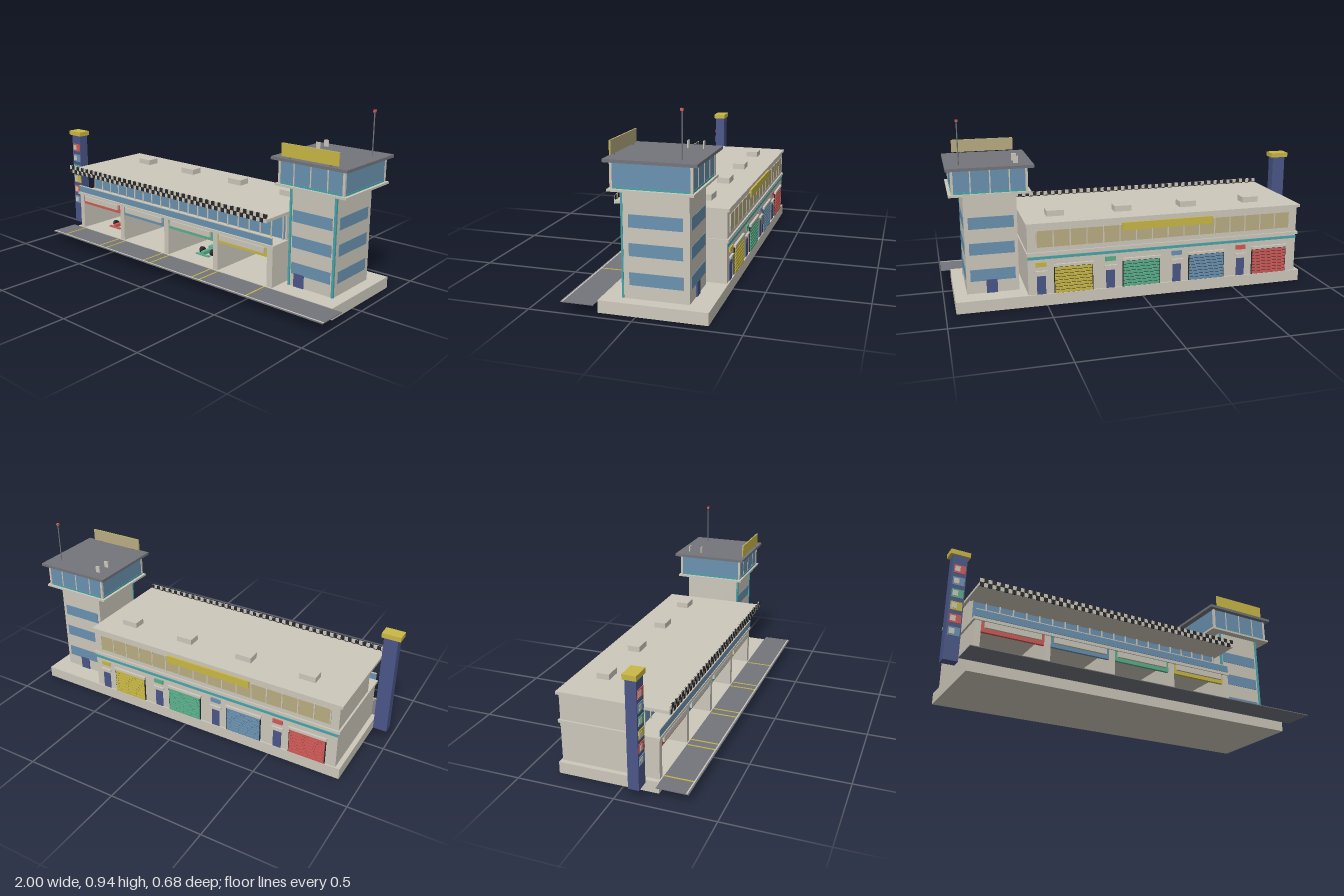
import * as THREE from 'three';

const paint = (name, color) => {
  const m = new THREE.MeshStandardMaterial({ color });
  m.name = name;
  return m;
};

export function createModel() {
  const root = new THREE.Group();
  root.name = 'pitBuilding';
  const cream = paint('cream', 0xcdc8bb), blue = paint('glassBlue', 0x6a92b0);
  const navy = paint('navy', 0x4a5688), teal = paint('teal', 0x48a5aa);
  const gray = paint('asphaltGray', 0x73757b), yellow = paint('yellow', 0xcab845);
  const red = paint('red', 0xd05a57), green = paint('green', 0x5ab08c);
  const black = paint('black', 0x29292c), khaki = paint('khaki', 0xb9ad82);

  const group = (name, parent = root) => {
    const g = new THREE.Group();
    g.name = name;
    parent.add(g);
    return g;
  };
  // Box given by its extents along each axis
  const box = (parent, name, mat, x0, x1, y0, y1, z0, z1) => {
    const mesh = new THREE.Mesh(new THREE.BoxGeometry(x1 - x0, y1 - y0, z1 - z0), mat);
    mesh.position.set((x0 + x1) / 2, (y0 + y1) / 2, (z0 + z1) / 2);
    mesh.name = name;
    parent.add(mesh);
    return mesh;
  };
  const cyl = (parent, name, mat, r, h, x, y, z) => {
    const mesh = new THREE.Mesh(new THREE.CylinderGeometry(r, r, h, 12), mat);
    mesh.position.set(x, y, z);
    mesh.name = name;
    parent.add(mesh);
    return mesh;
  };

  const bays = [-0.672, -0.313, 0.044, 0.4];
  const bayColors = [red, blue, green, yellow];

  // Plinth and pit lane
  box(root, 'plinth', cream, -0.89, 0.95, 0, 0.06, -0.338, 0.18);
  const lane = group('pitLane');
  box(lane, 'laneSurface', gray, -0.93, 1, 0.053, 0.057, 0.18, 0.34);
  box(lane, 'laneEdgeLine', cream, -0.93, 1, 0.057, 0.058, 0.326, 0.333);
  for (const b of bays) for (const s of [-0.152, 0.152])
    box(lane, 'bayLine', yellow, b + s - 0.004, b + s + 0.004, 0.057, 0.0585, 0.182, 0.326);

  // Ground floor shell: back wall, end walls, partitions
  const ground = group('groundFloor');
  box(ground, 'backWall', cream, -0.865, 0.594, 0.06, 0.265, -0.33, -0.318);
  const walls = [[-0.865, -0.834], [-0.508, -0.476], [-0.15, -0.118], [0.209, 0.24], [0.56, 0.594]];
  for (const [a, b] of walls) box(ground, 'partition', cream, a, b, 0.06, 0.265, -0.318, 0.174);
  box(ground, 'balconySlab', cream, -0.875, 0.6, 0.265, 0.28, -0.338, 0.181);
  box(ground, 'rearTrim', teal, -0.865, 0.594, 0.243, 0.257, -0.334, -0.33);

  bays.forEach((b, i) => {
    const bay = group('garageBay'), c = bayColors[i];
    // Front header and sign box
    box(bay, 'header', c, b - 0.163, b + 0.163, 0.212, 0.265, 0.155, 0.17);
    box(bay, 'signBox', cream, b - 0.145, b + 0.145, 0.232, 0.262, 0.17, 0.181);
    // Inside fittings
    box(bay, 'wallBanner', c, b - 0.133, b + 0.133, 0.135, 0.2, -0.318, -0.312);
    box(bay, 'cabinet', navy, b + 0.11, b + 0.158, 0.06, 0.105, -0.31, -0.25);
    if (i % 2) {
      box(bay, 'toolChest', c, b + 0.055, b + 0.13, 0.06, 0.105, -0.25, -0.2);
      for (let k = 0; k < 3; k++) for (let j = 0; j < 4; j++)
        cyl(bay, 'tyre', black, 0.017, 0.016, b - 0.145 + k * 0.038, 0.068 + j * 0.0185, -0.26);
    } else {
      raceCar(bay, c, b, -0.03);
    }
    // Rear roller door with slats
    const d = b - 0.037;
    box(bay, 'rollerBacking', black, d - 0.1, d + 0.1, 0.06, 0.205, -0.335, -0.33);
    for (let k = 0; k < 8; k++)
      box(bay, 'rollerSlat', c, d - 0.096, d + 0.096, 0.062 + k * 0.0172, 0.0755 + k * 0.0172, -0.339, -0.334);
    box(bay, 'rollerHousing', cream, d - 0.103, d + 0.103, 0.2, 0.213, -0.342, -0.33);
    // Rear service door, canopy and plate
    box(bay, 'serviceDoor', navy, b + 0.105, b + 0.15, 0.06, 0.155, -0.334, -0.33);
    box(bay, 'doorCanopy', cream, b + 0.095, b + 0.16, 0.175, 0.183, -0.341, -0.33);
    box(bay, 'doorPlate', c, b + 0.1, b + 0.155, 0.205, 0.228, -0.337, -0.33);
  });

  // Open-wheel car: nose toward +z
  function raceCar(parent, c, x, z) {
    const car = group('raceCar', parent);
    box(car, 'floorPan', black, x - 0.032, x + 0.032, 0.066, 0.07, z - 0.08, z + 0.05);
    box(car, 'body', c, x - 0.026, x + 0.026, 0.07, 0.094, z - 0.07, z + 0.025);
    box(car, 'nose', c, x - 0.011, x + 0.011, 0.07, 0.088, z + 0.025, z + 0.105);
    box(car, 'airbox', c, x - 0.01, x + 0.01, 0.094, 0.112, z - 0.06, z - 0.015);
    box(car, 'frontWing', c, x - 0.046, x + 0.046, 0.066, 0.072, z + 0.09, z + 0.11);
    box(car, 'rearWing', c, x - 0.034, x + 0.034, 0.113, 0.12, z - 0.1, z - 0.075);
    for (const s of [-1, 1]) {
      box(car, 'wingPlate', black, x + s * 0.034 - 0.002, x + s * 0.034 + 0.002, 0.09, 0.123, z - 0.102, z - 0.073);
      for (const w of [-0.065, 0.06])
        cyl(car, 'wheel', black, 0.018, 0.018, x + s * 0.038, 0.078, z + w).rotation.z = Math.PI / 2;
    }
  }

  // Upper floor: glazed front set back behind the balcony
  const upper = group('upperFloor');
  box(upper, 'upperBlock', cream, -0.865, 0.594, 0.28, 0.415, -0.33, 0.06);
  box(upper, 'frontGlass', blue, -0.855, 0.585, 0.285, 0.412, 0.06, 0.066);
  for (let i = 0; i <= 20; i++) {
    const x = -0.853 + i * 0.0715;
    box(upper, 'frontMullion', cream, x - 0.003, x + 0.003, 0.28, 0.415, 0.06, 0.07);
  }
  box(upper, 'rearGlass', khaki, -0.82, 0.55, 0.305, 0.39, -0.334, -0.33);
  for (let i = 0; i <= 16; i++) {
    const x = -0.82 + i * 0.0856;
    box(upper, 'rearMullion', cream, x - 0.003, x + 0.003, 0.302, 0.393, -0.336, -0.33);
  }
  box(upper, 'rearSign', yellow, -0.38, 0.11, 0.362, 0.402, -0.34, -0.33);
  box(upper, 'balconyGlass', blue, -0.865, 0.594, 0.283, 0.318, 0.176, 0.179);
  box(upper, 'balconyRail', cream, -0.865, 0.594, 0.318, 0.323, 0.175, 0.18);

  // Main roof, vents and chequered fascia
  const roof = group('mainRoof');
  box(roof, 'roofSlab', cream, -0.88, 0.6, 0.415, 0.43, -0.34, 0.232);
  for (const b of bays)
    box(roof, 'roofVent', cream, b - 0.014, b + 0.076, 0.43, 0.46, -0.222, -0.156);
  box(roof, 'fascia', cream, -0.877, 0.598, 0.412, 0.455, 0.23, 0.235);
  const n = 72, w = 1.475 / n;
  for (let i = 0; i < n; i++) {
    const x = -0.877 + i * w, y = 0.412 + (i % 2) * 0.0215;
    box(roof, 'chequer', black, x, x + w, y, y + 0.0215, 0.229, 0.237);
  }

  // Control tower shaft
  const tower = group('controlTower');
  box(tower, 'shaft', cream, 0.626, 0.888, 0.06, 0.57, -0.235, 0.08);
  for (const y of [0.125, 0.262, 0.395]) {
    box(tower, 'frontWindow', blue, 0.643, 0.868, y, y + 0.06, 0.08, 0.083);
    box(tower, 'rearWindow', blue, 0.643, 0.868, y, y + 0.06, -0.238, -0.235);
    box(tower, 'sideWindow', blue, 0.888, 0.891, y, y + 0.06, -0.205, 0.048);
  }
  box(tower, 'frontDoor', navy, 0.66, 0.718, 0.06, 0.13, 0.08, 0.086);
  box(tower, 'rearDoor', navy, 0.735, 0.79, 0.06, 0.13, -0.241, -0.235);
  for (const x of [0.624, 0.878])
    box(tower, 'cornerTrim', teal, x, x + 0.012, 0.06, 0.57, 0.075, 0.085);

  // Observation cab
  const cab = group('observationCab', tower);
  box(cab, 'cabFloor', cream, 0.556, 0.957, 0.57, 0.581, -0.275, 0.12);
  box(cab, 'cabGlass', blue, 0.573, 0.94, 0.581, 0.7, -0.262, 0.107);
  box(cab, 'cabTrim', teal, 0.571, 0.942, 0.581, 0.59, -0.264, 0.109);
  for (const x of [0.57, 0.931]) for (const z of [-0.266, 0.099])
    box(cab, 'cabPost', cream, x, x + 0.012, 0.581, 0.7, z, z + 0.012);
  for (const x of [0.66, 0.755, 0.85]) for (const z of [-0.264, 0.105])
    box(cab, 'cabMullion', cream, x - 0.003, x + 0.003, 0.581, 0.7, z, z + 0.004);
  box(cab, 'cabRoof', gray, 0.54, 0.966, 0.7, 0.715, -0.292, 0.134);

  // Roof sign, mast and small posts
  box(cab, 'signFront', yellow, 0.593, 0.913, 0.722, 0.787, 0.118, 0.122);
  box(cab, 'signBack', khaki, 0.593, 0.913, 0.722, 0.787, 0.114, 0.118);
  for (const x of [0.64, 0.866]) box(cab, 'signLeg', gray, x - 0.005, x + 0.005, 0.712, 0.724, 0.114, 0.12);
  cyl(cab, 'mast', gray, 0.003, 0.215, 0.897, 0.82, -0.205);
  box(cab, 'mastLight', red, 0.891, 0.903, 0.925, 0.937, -0.211, -0.199);
  for (const z of [-0.15, -0.225]) box(cab, 'roofPost', cream, 0.61, 0.635, 0.715, 0.75, z - 0.003, z + 0.003);

  // Position pylon
  const pylon = group('positionPylon');
  box(pylon, 'pylonColumn', navy, -0.985, -0.912, 0.06, 0.61, 0.068, 0.122);
  box(pylon, 'pylonCap', yellow, -1, -0.9, 0.61, 0.635, 0.062, 0.13);
  [red, blue, green, yellow, red, blue].forEach((c, i) => {
    const y = 0.535 - i * 0.066;
    box(pylon, 'pylonPanel', c, -0.976, -0.918, y - 0.022, y + 0.022, 0.122, 0.126);
    box(pylon, 'pylonTile', cream, -0.971, -0.945, y - 0.014, y + 0.014, 0.126, 0.128);
  });
  return root;
}
